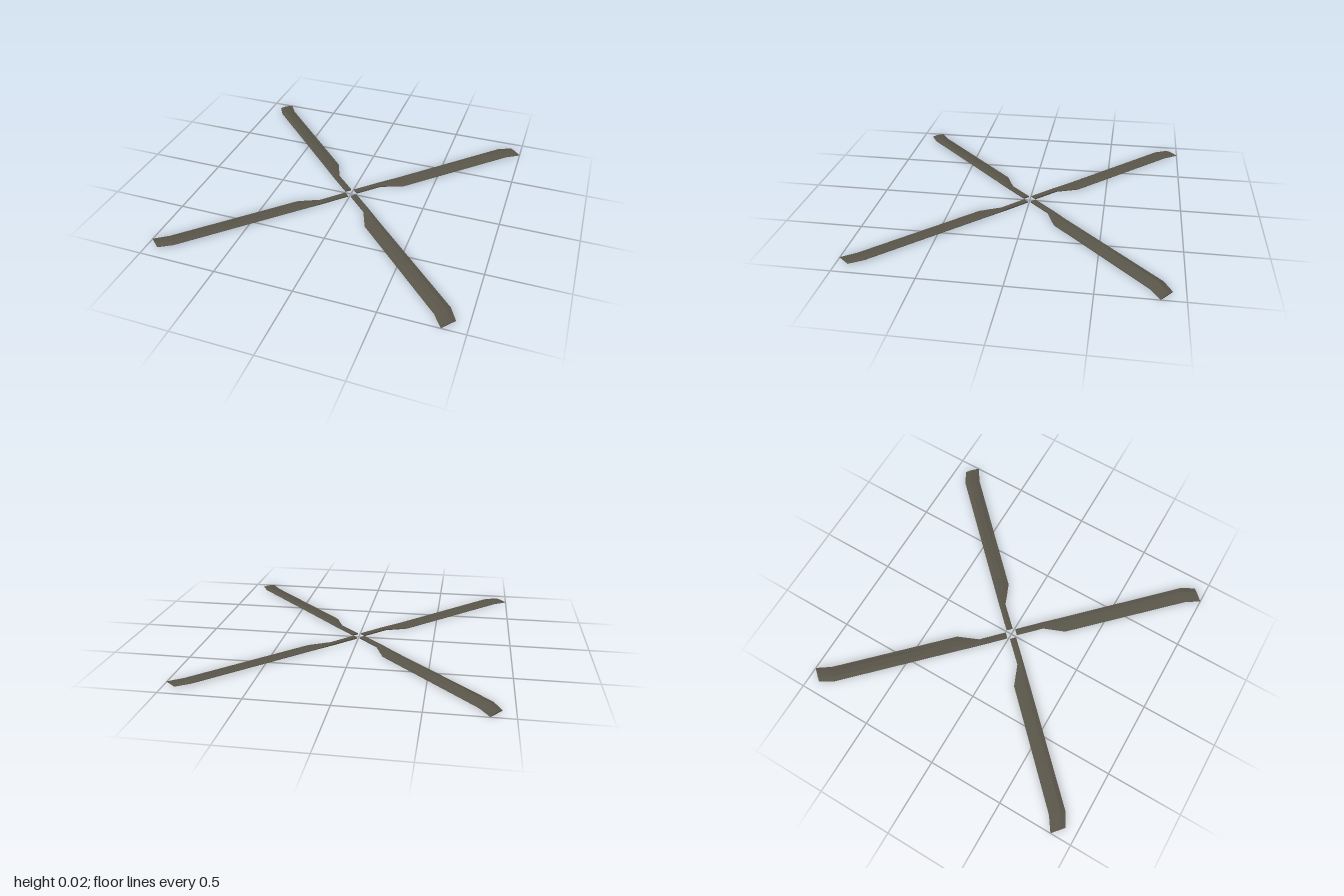
import * as THREE from 'three';

// Blade stations: [lead u, lead v, trail u, trail v, yLead, yCrown, yTrail, thickness]
// u runs out along the blade, v across it towards the leading edge.
const STATIONS = [
  [0.034, 0.024, 0.034, -0.018, 0.011, 0.013, 0.011, 0.008],
  [0.219, 0.026, 0.219, -0.016, 0.011, 0.013, 0.010, 0.008],
  [0.357, 0.026, 0.357, -0.075, 0.008, 0.011, 0.003, 0.003],
  [1.214, 0.026, 1.209, -0.078, 0.012, 0.018, 0.005, 0.003],
  [1.308, 0.000, 1.315, -0.099, 0.008, 0.011, 0.003, 0.002],
];

// Closed cross-section: over the top from leading to trailing edge, back underneath
function section([lu, lv, tu, tv, yLead, yCrown, yTrail, t]) {
  const at = (k, y) => [lu + (tu - lu) * k, Math.max(y, 0), -(lv + (tv - lv) * k)];
  return [
    at(0, yLead), at(0.3, yCrown), at(0.65, yCrown * 0.7 + yTrail * 0.3), at(1, yTrail),
    at(1, yTrail - t), at(0.5, (yLead + yTrail) / 2 - t), at(0, yLead - t),
  ];
}

function bladeGeometry() {
  const rings = STATIONS.map(section);
  const n = rings[0].length;
  const index = [];
  for (let i = 0; i < rings.length - 1; i++) {
    for (let j = 0; j < n; j++) {
      const k = (j + 1) % n;
      const a = i * n + j, b = a + n, c = (i + 1) * n + k, d = i * n + k;
      index.push(a, d, c, a, c, b);
    }
  }
  // Root and tip caps
  const end = (rings.length - 1) * n;
  for (let j = 1; j < n - 1; j++) {
    index.push(0, j + 1, j, end, end + j, end + j + 1);
  }
  const indexed = new THREE.BufferGeometry();
  indexed.setAttribute('position', new THREE.Float32BufferAttribute(rings.flat(2), 3));
  indexed.setIndex(index);
  const geometry = indexed.toNonIndexed(); // separate faces for crisp facets
  geometry.computeVertexNormals();
  return geometry;
}

export function createModel() {
  const model = new THREE.Group();
  model.name = 'rotor';
  const paint = new THREE.MeshStandardMaterial({ color: 0x5a564a });
  paint.name = 'dark olive grey';

  // Four identical blades in a diagonal cross
  const geometry = bladeGeometry();
  for (let i = 0; i < 4; i++) {
    const blade = new THREE.Mesh(geometry, paint);
    blade.name = `rotorBlade${i + 1}`;
    blade.rotation.y = -Math.PI / 4 + i * Math.PI / 2;
    model.add(blade);
  }
  return model;
}
